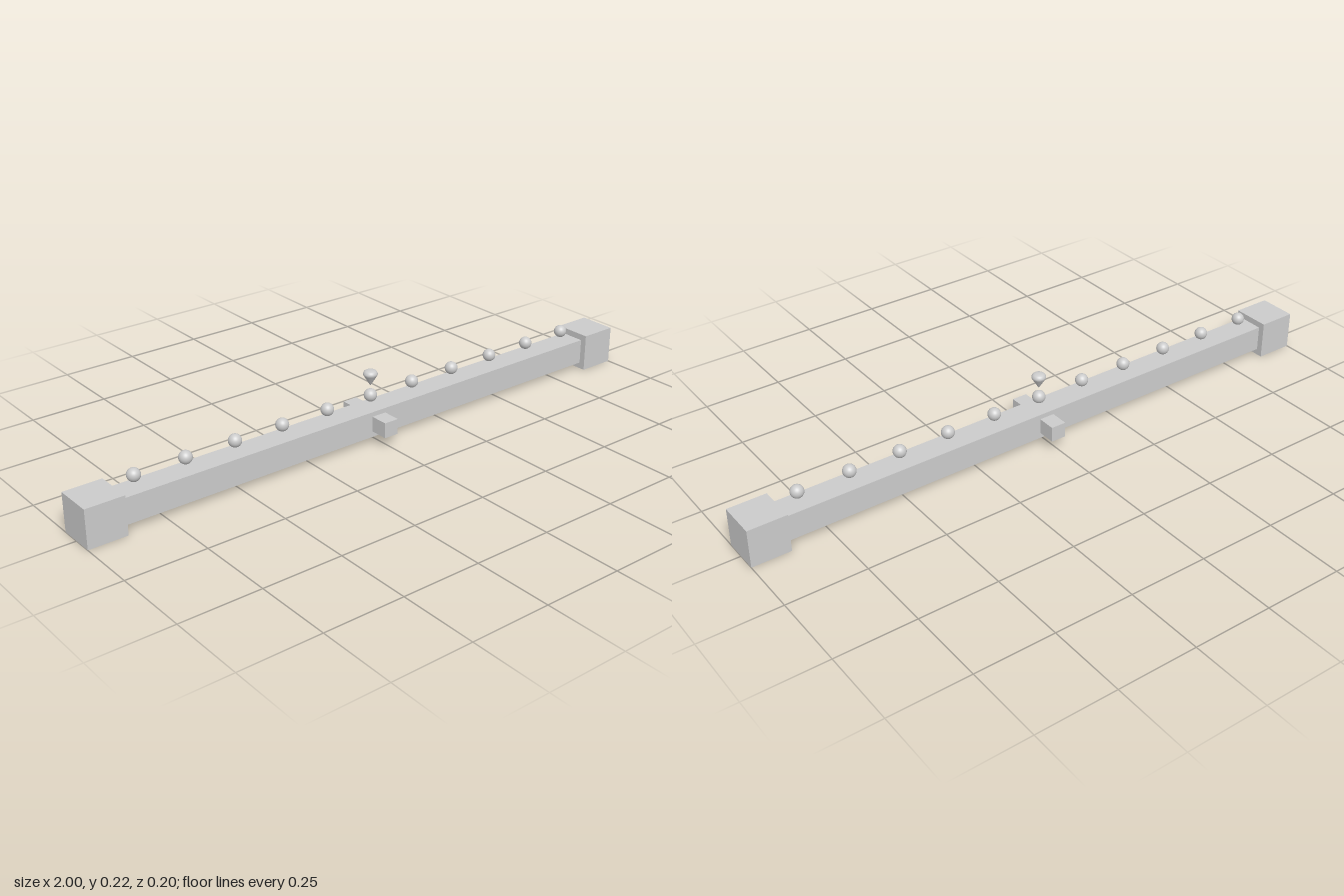
import * as THREE from 'three';

export function createModel() {
  const group = new THREE.Group();
  const mat = new THREE.MeshStandardMaterial({ color: 0xcccccc });
  const midY = 0.061;

  function add(name, geometry, x, y, z) {
    const mesh = new THREE.Mesh(geometry, mat);
    mesh.name = name;
    mesh.position.set(x, y, z);
    group.add(mesh);
    return mesh;
  }

  // Long square beam
  add('beam', new THREE.BoxGeometry(1.78, 0.082, 0.082), 0, midY, 0);

  // End blocks and the small blocks at mid-length
  for (const s of [1, -1]) {
    add(s > 0 ? 'leftEndBlock' : 'rightEndBlock', new THREE.BoxGeometry(0.122, 0.122, 0.122), s * 0.939, midY, 0);
    add(s > 0 ? 'frontSideBlock' : 'backSideBlock', new THREE.BoxGeometry(0.049, 0.049, 0.06), 0, 0.0625, s * 0.07);
  }

  // Row of marker balls hovering above the beam
  const ball = new THREE.SphereGeometry(0.0203, 32, 20);
  for (let i = -5; i <= 5; i++) add('markerBall', ball, i * 0.1633, 0.138, 0);

  // Pointer: cone tip below a flattened round cap
  const cone = [new THREE.Vector2(0, 0.169), new THREE.Vector2(0.0205, 0.202)];
  add('pointerTip', new THREE.LatheGeometry(cone, 32), 0, 0, 0);
  const cap = new THREE.SplineCurve([
    [0.0205, 0.202], [0.0222, 0.208], [0.0185, 0.2155], [0.0105, 0.2195], [0, 0.2207],
  ].map(([r, y]) => new THREE.Vector2(r, y))).getPoints(16);
  cap[cap.length - 1].x = 0;
  add('pointerCap', new THREE.LatheGeometry(cap, 32), 0, 0, 0);

  return group;
}
